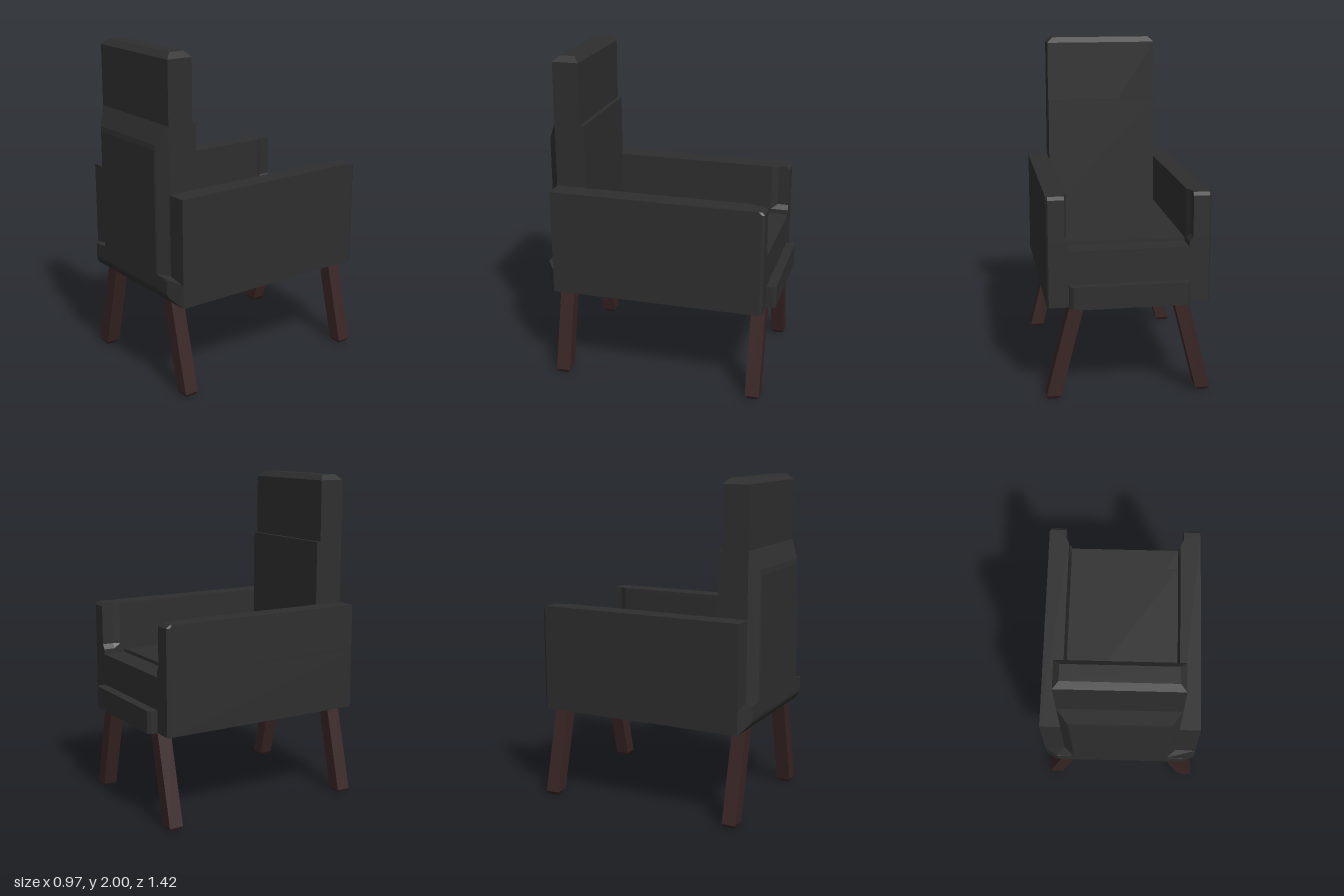
import * as THREE from 'three';

// Closed flat-shaded solid from stacked [level, counter-clockwise outline] rings, stacked along z
function loft(rings) {
  const pos = [];
  const at = (r, i) => [...rings[r][1][i], rings[r][0]];
  const n = rings[0][1].length;
  const tri = (a, b, c) => pos.push(...a, ...b, ...c);
  for (let r = 0; r < rings.length - 1; r++) {
    for (let i = 0; i < n; i++) {
      const j = (i + 1) % n;
      tri(at(r, i), at(r, j), at(r + 1, j));
      tri(at(r, i), at(r + 1, j), at(r + 1, i));
    }
  }
  const cap = (r, flip) => {
    const pts = rings[r][1].map(([x, y]) => new THREE.Vector2(x, y));
    for (const [a, b, c] of THREE.ShapeUtils.triangulateShape(pts, [])) {
      if (flip) tri(at(r, c), at(r, b), at(r, a));
      else tri(at(r, a), at(r, b), at(r, c));
    }
  };
  cap(0, true);
  cap(rings.length - 1, false);
  const g = new THREE.BufferGeometry();
  g.setAttribute('position', new THREE.Float32BufferAttribute(pos, 3));
  g.computeVertexNormals();
  return g;
}

// Same, stacked upward along y; outlines are given as [x, -z]
const loftUp = (rings) => loft(rings).rotateX(-Math.PI / 2);

const rect = (x0, x1, v0, v1) => [[x0, v0], [x1, v0], [x1, v1], [x0, v1]];
const mirrorOutline = (pts) => pts.map(([x, v]) => [-x, v]).reverse();

export function createModel() {
  const group = new THREE.Group();
  const upholstery = new THREE.MeshStandardMaterial({ color: 0x2e2e2e });
  upholstery.name = 'charcoalUpholstery';
  const wood = new THREE.MeshStandardMaterial({ color: 0x382424 });
  wood.name = 'darkWood';

  const add = (name, geometry, material = upholstery) => {
    const mesh = new THREE.Mesh(geometry, material);
    mesh.name = name;
    group.add(mesh);
    return mesh;
  };
  const box = (name, x0, x1, y0, y1, z0, z1) =>
    add(name, new THREE.BoxGeometry(x1 - x0, y1 - y0, z1 - z0)
      .translate((x0 + x1) / 2, (y0 + y1) / 2, (z0 + z1) / 2));

  // Seat body with a slightly raised cushion
  box('seatBase', -0.35, 0.35, 0.56, 0.89, -0.65, 0.65);
  box('seatCushion', -0.35, 0.35, 0.88, 0.91, -0.51, 0.5);

  // Front apron with chamfered ends
  add('frontApron', loftUp([0.56, 0.695].map((y) => [y, [
    [-0.35, 0.64], [0.35, 0.64], [0.35, 0.69], [0.33, 0.708], [-0.33, 0.708], [-0.35, 0.69],
  ]])));

  // Backrest with bevelled top, and its padded lower lining
  add('backrest', loftUp([
    [0.85, rect(-0.35, 0.35, -0.65, -0.49)],
    [1.967, rect(-0.35, 0.35, -0.65, -0.49)],
    [2, rect(-0.315, 0.315, -0.615, -0.522)],
  ]));
  box('backrestLining', -0.35, 0.35, 0.85, 1.595, 0.465, 0.5);

  // Bevelled rear shell, shaped like an upside-down T
  const tee = (foot, bottom, footTop, neckY, neck, top) => [
    [-foot, bottom], [foot, bottom], [foot, footTop], [neck, neckY],
    [neck, top], [-neck, top], [-neck, neckY], [-foot, footTop],
  ];
  add('rearShell', loft([
    [0.645, tee(0.475, 0.56, 0.7, 0.72, 0.35, 1.6)],
    [0.65, tee(0.475, 0.56, 0.7, 0.72, 0.35, 1.6)],
    [0.703, tee(0.4, 0.62, 0.725, 0.728, 0.295, 1.49)],
    [0.708, tee(0.39, 0.64, 0.72, 0.73, 0.285, 1.46)],
  ]));

  // Arms: full depth below, with the inner front edge cut back above the seat
  const lower = [[0.35, -0.65], [0.475, -0.65], [0.475, 0.635], [0.465, 0.65],
    [0.35, 0.65], [0.35, 0.58], [0.35, 0.54]];
  const upper = [[0.35, -0.65], [0.475, -0.65], [0.475, 0.635], [0.465, 0.65],
    [0.37, 0.65], [0.37, 0.58], [0.35, 0.54]];
  const top = upper.map(([x, v]) => [x, v > 0.6 ? v - 0.02 : v]);
  const armRings = [[0.56, lower], [0.92, lower], [0.95, upper], [1.19, upper], [1.208, top]];
  add('leftArm', loftUp(armRings));
  add('rightArm', loftUp(armRings.map(([y, p]) => [y, mirrorOutline(p)])));

  // Four splayed legs with chamfered feet
  for (const side of [-1, 1]) {
    for (const end of [-1, 1]) {
      const ring = (y, cx, hx, hz) => {
        const x = side * cx, v = -end * 0.607;
        return [y, rect(x - hx, x + hx, v - hz, v + hz)];
      };
      const name = (end < 0 ? 'front' : 'rear') + (side > 0 ? 'Left' : 'Right') + 'Leg';
      add(name, loftUp([
        ring(0, 0.445, 0.03, 0.03),
        ring(0.02, 0.443, 0.043, 0.043),
        ring(0.57, 0.303, 0.043, 0.043),
      ]), wood);
    }
  }
  return group;
}
